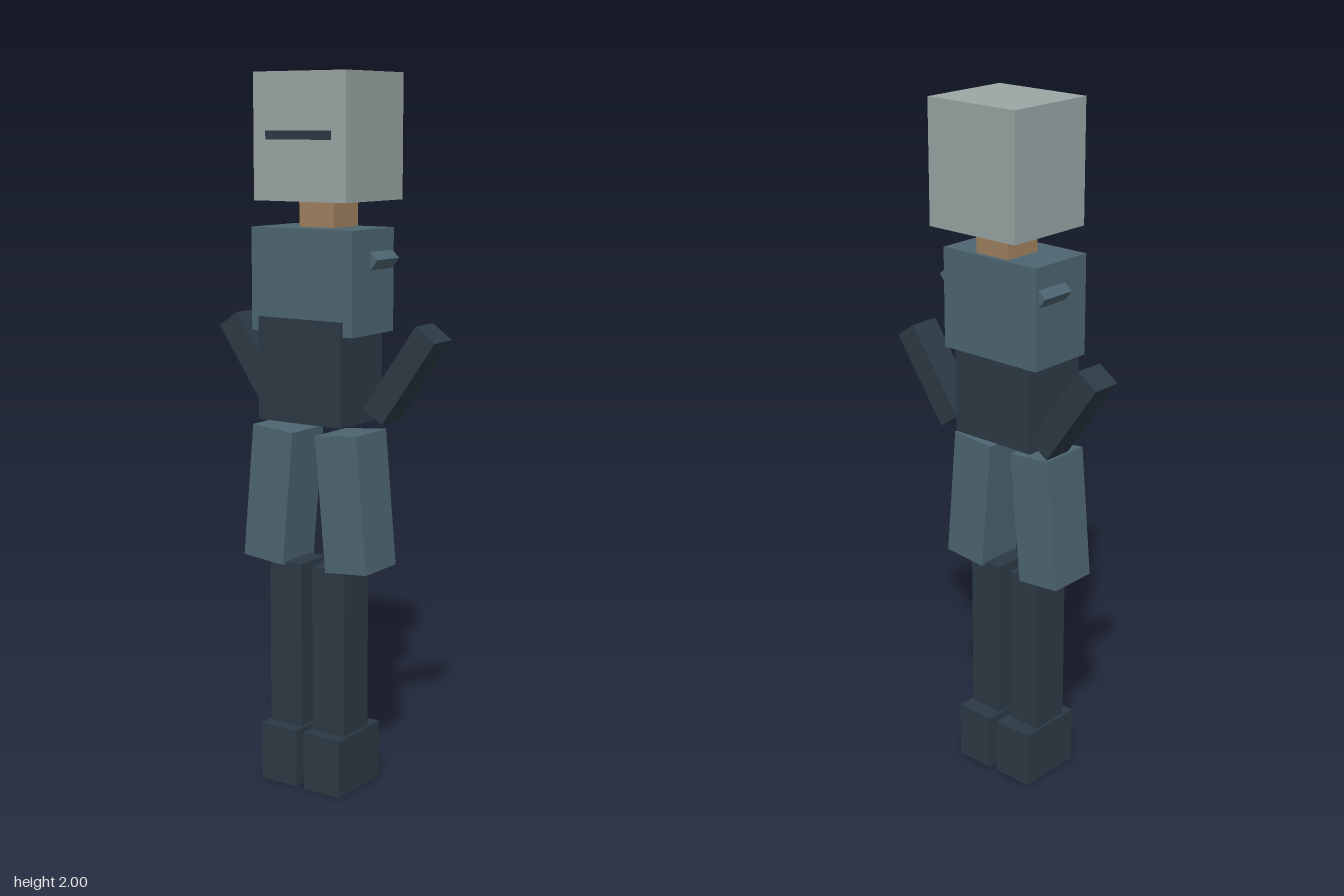
import * as THREE from 'three';

export function createModel() {
  const model = new THREE.Group();
  model.name = 'blockFigure';

  const mat = (name, color) => {
    const m = new THREE.MeshStandardMaterial({ color });
    m.name = name;
    return m;
  };
  const grey = mat('helmetGrey', 0x9aa6a5);
  const blue = mat('slateBlue', 0x4d6672);
  const dark = mat('darkNavy', 0x2c3a45);
  const skin = mat('skinTan', 0xa08260);

  // Box from its size and centre, with an optional tilt in degrees about z
  const box = (name, material, [w, h, d], [x, y, z], tilt = 0) => {
    const mesh = new THREE.Mesh(new THREE.BoxGeometry(w, h, d), material);
    mesh.name = name;
    mesh.position.set(x, y, z);
    mesh.rotation.z = THREE.MathUtils.degToRad(tilt);
    model.add(mesh);
  };

  // Head and neck
  box('head', grey, [0.302, 0.342, 0.278], [0, 1.829, -0.005]);
  box('visorSlit', dark, [0.21, 0.024, 0.008], [-0.001, 1.833, 0.137]);
  box('neck', skin, [0.114, 0.1, 0.118], [0, 1.615, -0.005]);

  // Torso
  box('chest', blue, [0.332, 0.284, 0.204], [0, 1.444, 0.025]);
  box('waist', dark, [0.274, 0.286, 0.203], [0, 1.199, 0.036]);

  // Mirrored limbs
  for (const [side, s] of [['left', 1], ['right', -1]]) {
    box(side + 'Shoulder', blue, [0.06, 0.06, 0.108], [s * 0.148, 1.501, -0.014], s * -40);
    box(side + 'Forearm', dark, [0.0735, 0.288, 0.09], [s * 0.249, 1.194, -0.02], s * -35);
    box(side + 'Thigh', blue, [0.136, 0.383, 0.15], [s * 0.123, 0.838, 0.042], s * 5.2);
    box(side + 'Shin', dark, [0.107, 0.49, 0.119], [s * 0.0735, 0.403, 0.043]);
    box(side + 'Foot', dark, [0.122, 0.168, 0.203], [s * 0.0735, 0.084, 0.036]);
  }

  return model;
}
